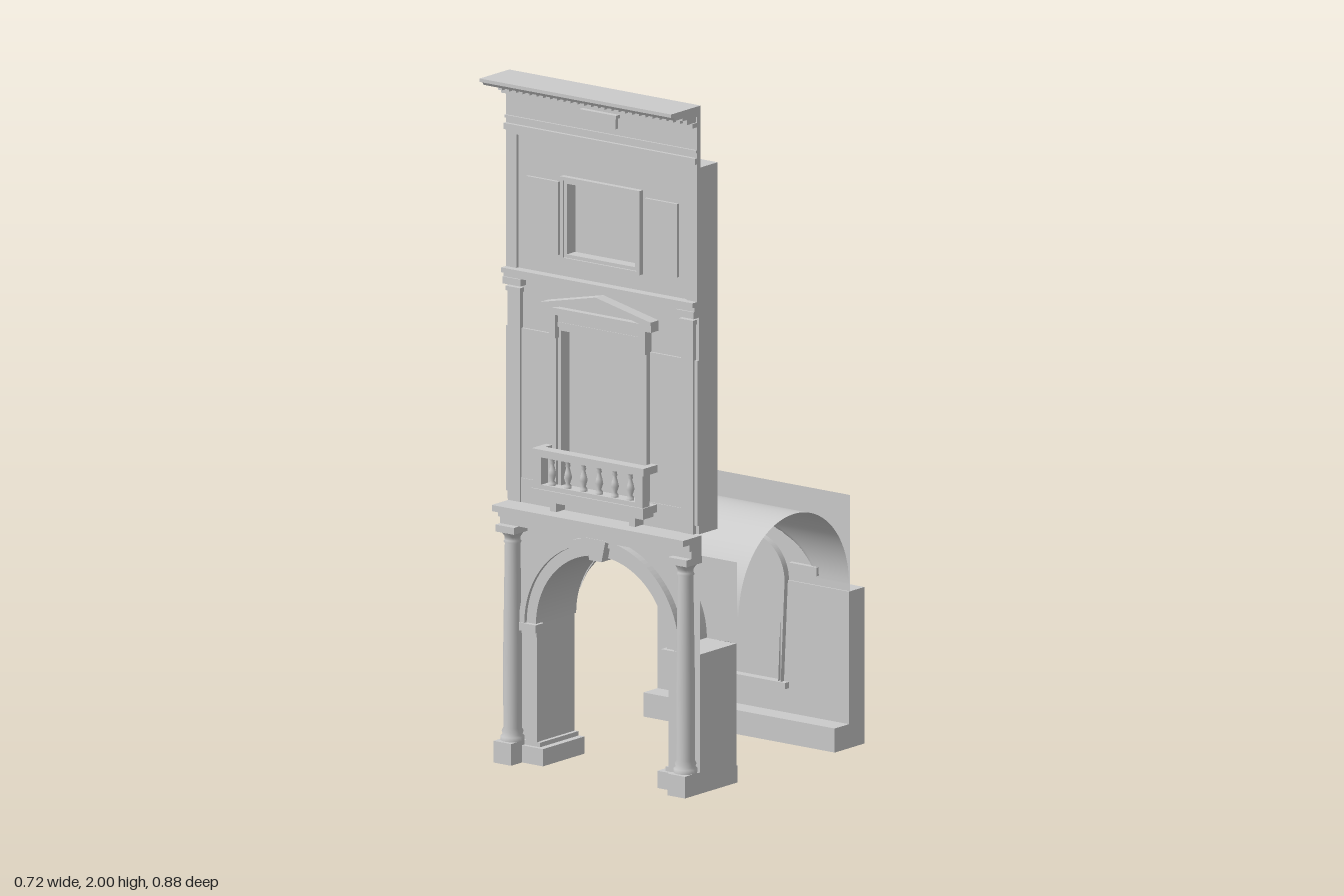
import * as THREE from 'three';

const mat = new THREE.MeshStandardMaterial({ color: 0xcccccc, side: THREE.DoubleSide });
const W = 0.343; // half width of the bay
const SPRING = 0.405, R = 0.235; // main arch

export function createModel() {
  const model = new THREE.Group();
  const bay = new THREE.Group();
  bay.name = 'facadeBay';
  bay.position.x = 0.012;
  model.add(bay);

  const add = (name, geo, x = 0, y = 0, z = 0) => {
    const m = new THREE.Mesh(geo, mat);
    m.name = name;
    m.position.set(x, y, z);
    bay.add(m);
    return m;
  };
  // box given by its limits
  const box = (name, x0, x1, y0, y1, z0, z1) =>
    add(name, new THREE.BoxGeometry(x1 - x0, y1 - y0, z1 - z0), (x0 + x1) / 2, (y0 + y1) / 2, (z0 + z1) / 2);
  // mirrored pair of boxes
  const pair = (name, x0, x1, ...r) => {
    box(name, x0, x1, ...r);
    box(name, -x1, -x0, ...r);
  };
  const extrude = (name, shape, z0, z1) =>
    add(name, new THREE.ExtrudeGeometry(shape, { depth: z1 - z0, bevelEnabled: false, curveSegments: 32 }), 0, 0, z0);
  const flat = (name, shape, z) => add(name, new THREE.ShapeGeometry(shape, 32), 0, 0, z);
  const poly = (pts) => new THREE.Shape(pts.map((p) => new THREE.Vector2(...p)));
  const rect = (x0, x1, y0, y1) => poly([[x0, y0], [x1, y0], [x1, y1], [x0, y1]]);
  // wall with an arched notch rising from its lower edge
  const archedWall = (w, y0, y1, r, ys) => {
    const s = poly([[-w, y0], [-w, y1], [w, y1], [w, y0], [r, y0], [r, ys]]);
    s.absarc(0, ys, r, 0, Math.PI, false);
    s.lineTo(-r, y0);
    return s;
  };
  const arcBand = (ri, ro, ys, yb = ys) => {
    const s = new THREE.Shape();
    s.moveTo(ro, yb);
    s.absarc(0, ys, ro, 0, Math.PI, false);
    s.lineTo(-ro, yb);
    s.lineTo(-ri, yb);
    s.absarc(0, ys, ri, Math.PI, 0, true);
    s.lineTo(ri, yb);
    return s;
  };
  // open half cylinder running along z
  const barrel = (name, r, ys, z0, z1) => {
    const g = new THREE.CylinderGeometry(r, r, z1 - z0, 32, 1, true, Math.PI / 2, Math.PI);
    g.rotateX(Math.PI / 2);
    return add(name, g, 0, ys, (z0 + z1) / 2);
  };
  // rectangular frame around an opening
  const frame = (name, x, y0, y1, t, z0, z1) => {
    const s = rect(-x - t, x + t, y0 - t, y1 + t);
    s.holes.push(rect(-x, x, y0, y1));
    extrude(name, s, z0, z1);
  };
  const lathe = (name, pts, x, y, z, n = 20) =>
    add(name, new THREE.LatheGeometry(pts.map((p) => new THREE.Vector2(...p)), n), x, y, z);

  // Ground floor: piers, arch and columns
  pair('pier', 0.237, W, 0, SPRING, 0.145, 0.31);
  pair('pierBase', 0.205, W, 0, 0.05, 0.14, 0.33);
  pair('pierBaseMoulding', 0.225, W, 0.05, 0.063, 0.143, 0.318);
  pair('columnPedestal', 0.28, W, 0, 0.063, 0.29, 0.38);
  pair('impost', 0.225, 0.285, 0.385, 0.408, 0.3, 0.338);
  pair('impostNeck', 0.23, 0.28, 0.37, 0.385, 0.3, 0.328);
  pair('pierFront', 0.235, 0.275, 0.05, 0.37, 0.3, 0.318);
  flat('arcadeWall', archedWall(W, SPRING, 0.75, R, SPRING), 0.311);
  flat('innerArcadeWall', archedWall(W, SPRING, 0.64, R, SPRING), 0.142);
  barrel('archSoffit', R, SPRING, 0.14, 0.311);
  extrude('archivolt', arcBand(R, 0.268, SPRING), 0.305, 0.324);
  extrude('archivoltInner', arcBand(R, 0.25, SPRING), 0.305, 0.318);
  extrude('archivoltOuter', arcBand(0.268, 0.287, SPRING), 0.305, 0.335);
  extrude('keystone', poly([[-0.022, 0.632], [0.022, 0.632], [0.036, 0.695], [-0.036, 0.695]]), 0.3, 0.352);
  for (const s of [-1, 1])
    lathe('column', [[0.034, 0.063], [0.034, 0.075], [0.028, 0.08], [0.031, 0.09], [0.026, 0.1], [0.027, 0.3],
      [0.022, 0.635], [0.026, 0.64], [0.022, 0.645], [0.023, 0.655], [0.033, 0.67]], s * 0.31, 0, 0.335);
  pair('columnCapital', 0.276, W, 0.67, 0.69, 0.301, 0.372);
  box('architrave', -W, W, 0.69, 0.712, 0.305, 0.35);
  box('frieze', -W, W, 0.712, 0.732, 0.305, 0.36);
  box('lowerCornice', -W, W, 0.732, 0.75, 0.305, 0.388);

  // Vault: long barrel crossed by a lower barrel in line with the arch
  const ZC = -0.118, RZ = 0.252;
  const vault = new THREE.PlaneGeometry(1, 1, 64, 64);
  const p = vault.attributes.position;
  for (let i = 0; i < p.count; i++) {
    const x = -0.317 + (p.getX(i) + 0.5) * 0.66;
    const dz = -RZ * Math.cos((p.getY(i) + 0.5) * Math.PI);
    const main = 0.478 + Math.sqrt(Math.max(0, RZ * RZ - dz * dz));
    const cross = SPRING + Math.sqrt(Math.max(0, R * R - x * x));
    p.setXYZ(i, x, Math.max(main, cross), ZC - dz);
  }
  vault.computeVertexNormals();
  add('vault', vault);
  // Rib closing the open end of the vault
  const rib = new THREE.ExtrudeGeometry(arcBand(0.245, 0.259, 0.478), { depth: 0.055, bevelEnabled: false, curveSegments: 32 });
  rib.rotateY(-Math.PI / 2);
  add('vaultRib', rib, -0.317, 0, ZC);

  // Rear wall with niche
  const N = 0.097, NY = 0.455;
  pair('rearWallSide', N, W, 0, NY, -0.44, -0.37);
  box('rearWallBase', -N, N, 0, 0.155, -0.44, -0.37);
  box('rearPlinth', -W, W, 0, 0.07, -0.37, -0.305);
  flat('rearUpperWall', archedWall(W, NY, 0.735, N, NY), -0.375);
  barrel('nicheVault', N, NY, -0.44, -0.37);
  const niche = new THREE.Shape();
  niche.moveTo(-N, 0.155);
  niche.lineTo(N, 0.155);
  niche.absarc(0, NY, N, 0, Math.PI, false);
  flat('nicheBack', niche, -0.395);
  extrude('nicheFrame', arcBand(N, 0.11, NY, 0.155), -0.375, -0.36);
  extrude('nicheFrameOuter', arcBand(0.11, 0.124, NY, 0.155), -0.375, -0.355);
  box('nicheSill', -0.128, 0.128, 0.142, 0.16, -0.375, -0.352);
  extrude('nicheKeystone', poly([[-0.018, 0.545], [0.018, 0.545], [0.03, 0.6], [-0.03, 0.6]]), -0.38, -0.345);
  pair('rearStringCourse', 0.135, 0.235, 0.485, 0.51, -0.375, -0.36);

  // Upper wall slab with two window openings
  const slab = rect(-W, W, 0.755, 1.82);
  slab.holes.push(rect(-0.143, 0.143, 0.8, 1.275), rect(-0.122, 0.122, 1.5, 1.705));
  extrude('upperWall', slab, 0.23, 0.315);
  flat('lowerWindowPane', rect(-0.143, 0.143, 0.8, 1.275), 0.288);
  flat('upperWindowPane', rect(-0.122, 0.122, 1.5, 1.705), 0.288);

  // Middle floor: pilasters, panels and pedimented window
  pair('wallPanel', 0.172, W, 0.78, 1.26, 0.31, 0.322);
  pair('pilaster', 0.288, 0.332, 0.755, 1.37, 0.31, 0.328);
  pair('pilasterNeck', 0.284, 0.336, 1.365, 1.378, 0.31, 0.334);
  pair('pilasterCapital', 0.278, W, 1.385, 1.405, 0.31, 0.34);
  box('apron', -0.29, 0.29, 0.755, 0.825, 0.31, 0.325);
  frame('lowerWindowFrame', 0.143, 0.815, 1.275, 0.012, 0.305, 0.326);
  frame('lowerWindowFrameOuter', 0.155, 0.815, 1.287, 0.014, 0.305, 0.334);
  box('windowFrieze', -0.165, 0.165, 1.295, 1.325, 0.31, 0.332);
  box('pedimentBase', -0.198, 0.198, 1.325, 1.345, 0.31, 0.35);
  extrude('pedimentField', poly([[-0.185, 1.345], [0.185, 1.345], [0, 1.385]]), 0.31, 0.33);
  extrude('pedimentRake', poly([[-0.198, 1.345], [-0.16, 1.345], [0, 1.38], [0.16, 1.345], [0.198, 1.345],
    [0.198, 1.355], [0, 1.398], [-0.198, 1.355]]), 0.31, 0.352);
  pair('windowConsole', 0.15, 0.172, 1.255, 1.325, 0.31, 0.345);

  // Balcony
  box('balconyFloor', -0.2, 0.2, 0.8, 0.822, 0.31, 0.39);
  box('balconyFloorMoulding', -0.188, 0.188, 0.785, 0.8, 0.31, 0.375);
  box('balconyRail', -0.2, 0.2, 0.915, 0.937, 0.352, 0.388);
  box('balconyBottomRail', -0.195, 0.195, 0.822, 0.835, 0.355, 0.385);
  pair('balconyPost', 0.168, 0.196, 0.822, 0.915, 0.354, 0.386);
  pair('balconySideRail', 0.178, 0.2, 0.915, 0.937, 0.315, 0.355);
  for (let i = -2.5; i <= 2.5; i++)
    lathe('baluster', [[0.011, 0], [0.011, 0.008], [0.006, 0.014], [0.012, 0.032], [0.009, 0.046], [0.005, 0.06],
      [0.008, 0.066], [0.006, 0.07], [0.01, 0.082]], i * 0.056, 0.834, 0.37, 10);
  pair('balconyBracket', 0.13, 0.152, 0.757, 0.787, 0.31, 0.365);

  // Top floor: string course, framed panel and window
  box('stringCourse', -W, W, 1.405, 1.418, 0.31, 0.335);
  box('stringCourseTop', -W, W, 1.418, 1.432, 0.31, 0.345);
  pair('panelBorder', 0.305, W, 1.432, 1.82, 0.31, 0.324);
  frame('upperWindowFrame', 0.122, 1.5, 1.705, 0.01, 0.305, 0.326);
  frame('upperWindowFrameOuter', 0.132, 1.49, 1.715, 0.01, 0.305, 0.332);
  pair('upperSidePanel', 0.155, 0.27, 1.492, 1.705, 0.31, 0.324);

  // Crowning entablature
  box('atticWall', -W, W, 1.82, 1.985, 0.308, 0.324);
  box('atticMoulding', -W, W, 1.832, 1.85, 0.315, 0.334);
  box('atticFillet', -W, W, 1.865, 1.873, 0.315, 0.33);
  box('atticPlaque', -0.06, 0.06, 1.893, 1.932, 0.315, 0.337);
  box('atticPlaqueCap', -0.066, 0.066, 1.924, 1.934, 0.315, 0.342);
  box('corniceBed', -W, W, 1.94, 1.953, 0.315, 0.345);
  for (let i = 0; i < 28; i++) {
    const x = -W + 0.012 + i * (2 * W - 0.024) / 27;
    box('dentil', x - 0.007, x + 0.007, 1.953, 1.97, 0.315, 0.365);
  }
  box('corniceSoffit', -W, W, 1.97, 1.982, 0.308, 0.39);
  const crown = new THREE.ExtrudeGeometry(poly([[0.308, 1.978], [0.425, 1.978], [0.432, 1.988], [0.443, 1.99],
    [0.443, 2], [0.308, 2]]), { depth: 2 * W, bevelEnabled: false });
  crown.rotateY(-Math.PI / 2);
  add('crownCornice', crown, W);
  return model;
}
